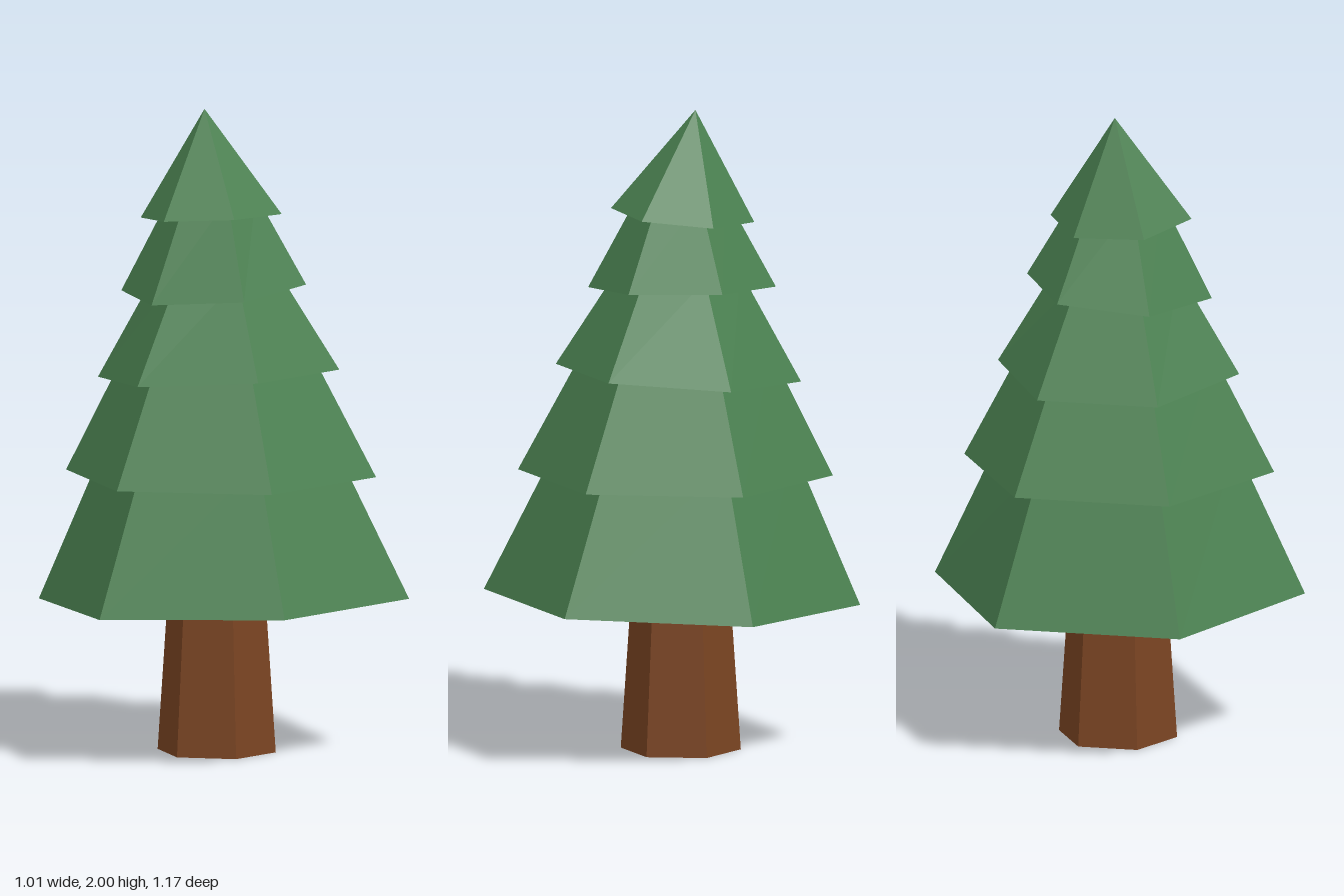
import * as THREE from 'three';

const SIDES = 6;

// Six-sided ring around [x, y, z]; tiltX and tiltZ are the rise per unit of x and z
function ring([x, y, z], radius, tiltX = 0, tiltZ = 0) {
  return Array.from({ length: SIDES }, (_, k) => {
    const a = (k / SIDES) * Math.PI * 2;
    const dx = radius * Math.sin(a);
    const dz = radius * Math.cos(a);
    return [x + dx, y + dx * tiltX + dz * tiltZ, z + dz];
  });
}

// Walls from a lower ring to an upper ring, with the underside rising to one point
function hexSolid(low, high, under) {
  const points = [];
  const tri = (...corners) => corners.forEach((c) => points.push(...c));
  const top = [0, 1, 2].map((i) => high.reduce((s, p) => s + p[i], 0) / SIDES);
  for (let k = 0; k < SIDES; k++) {
    const n = (k + 1) % SIDES;
    tri(low[k], low[n], high[n]);
    tri(low[k], high[n], high[k]);
    tri(high[k], high[n], top);
    tri(low[n], low[k], under);
  }
  const geometry = new THREE.BufferGeometry();
  geometry.setAttribute('position', new THREE.Float32BufferAttribute(points, 3));
  geometry.computeVertexNormals();
  return geometry;
}

export function createModel() {
  const tree = new THREE.Group();
  tree.name = 'pineTree';
  const bark = new THREE.MeshStandardMaterial({ color: 0x7a4422, flatShading: true });
  const needles = new THREE.MeshStandardMaterial({ color: 0x4a8050, flatShading: true });

  // Tapered trunk, running up inside the lowest tier
  const trunk = new THREE.Mesh(
    hexSolid(ring([-0.03, 0, 0], 0.186), ring([-0.03, 0.72, 0], 0.138), [-0.03, 0, 0]), bark);
  trunk.name = 'trunk';
  tree.add(trunk);

  // Foliage tiers from bottom to top, each slightly tilted and hollowed below
  const tiers = [
    { base: [0, 0.478, 0], r: 0.583, tilt: [0.033, 0], top: [-0.012, 0.95, 0], topR: 0.365 },
    { base: [-0.012, 0.868, 0], r: 0.488, tilt: [0.006, 0], top: [-0.019, 1.25, 0], topR: 0.29 },
    { base: [-0.022, 1.18, 0], r: 0.38, tilt: [0.068, 0], top: [-0.024, 1.5, 0], topR: 0.19 },
    { base: [-0.037, 1.447, 0.006], r: 0.291, tilt: [0.025, -0.078], top: [-0.037, 1.74, 0.005], topR: 0.132 },
    { base: [-0.042, 1.671, 0.012], r: 0.222, tilt: [0.08, 0.03], top: [-0.08, 2, 0], topR: 0 },
  ];
  tiers.forEach(({ base, r, tilt, top, topR }, i) => {
    const under = [base[0], base[1] + r * 0.3, base[2]];
    const tier = new THREE.Mesh(hexSolid(ring(base, r, ...tilt), ring(top, topR), under), needles);
    tier.name = `foliageTier${i + 1}`;
    tree.add(tier);
  });
  return tree;
}
